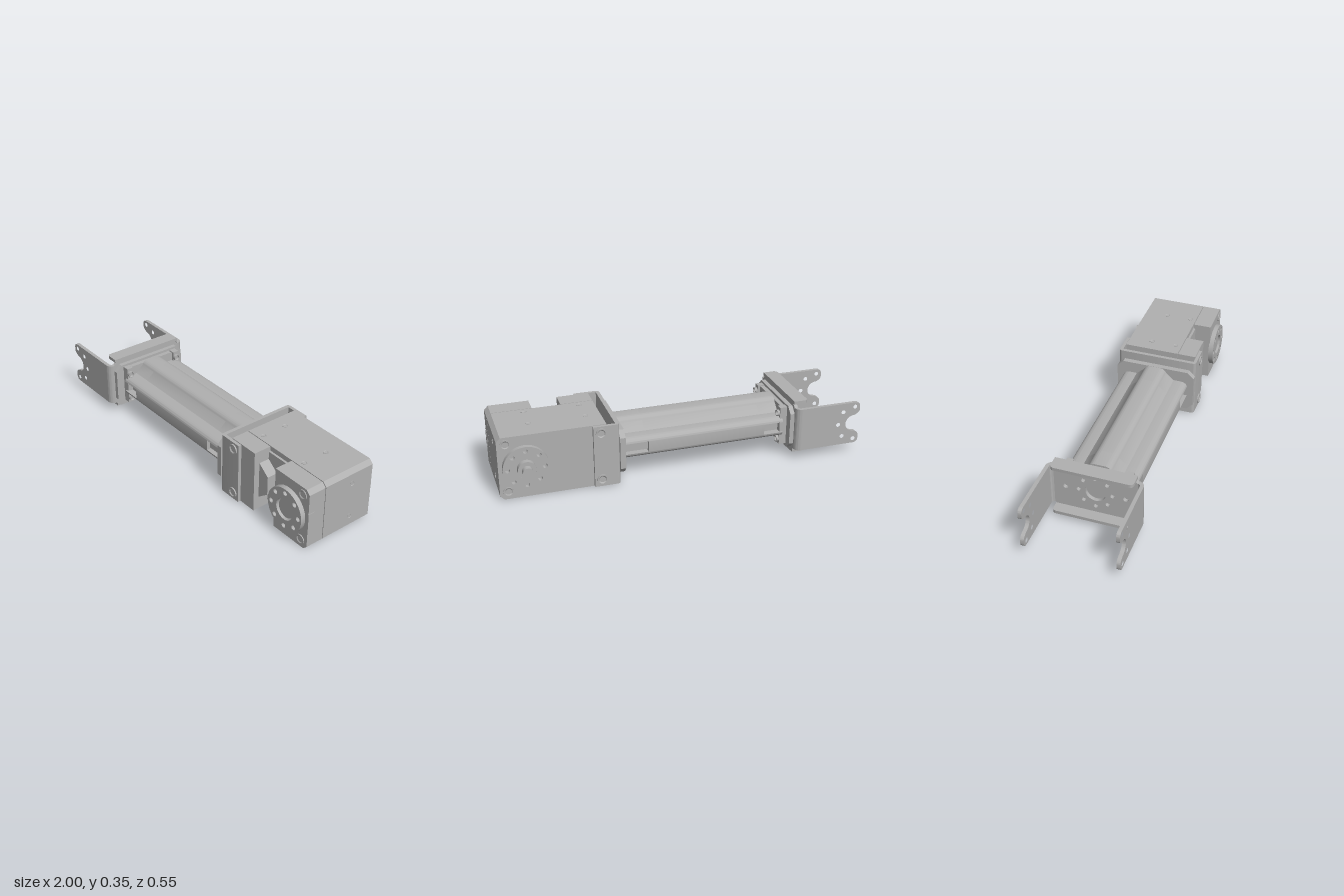
import * as THREE from 'three';
import { toCreasedNormals } from 'three/addons/utils/BufferGeometryUtils.js';

const CY = 0.177, CZ = 0.015; // centre line of the arm

export function createModel() {
  const root = new THREE.Group();
  root.name = 'armLink';
  const metal = new THREE.MeshStandardMaterial({ color: 0xb0b0b0 });
  metal.name = 'grey metal';

  const add = (name, geo, x = 0, y = 0, z = 0, parent = root) => {
    const m = new THREE.Mesh(geo, metal);
    m.name = name;
    m.position.set(x, y, z);
    parent.add(m);
    return m;
  };
  // box given by its limits
  const box = (name, x0, x1, y0, y1, z0, z1) =>
    add(name, new THREE.BoxGeometry(x1 - x0, y1 - y0, z1 - z0), (x0 + x1) / 2, (y0 + y1) / 2, (z0 + z1) / 2);
  const poly = pts => new THREE.Shape(pts.map(p => new THREE.Vector2(p[0], p[1])));
  const punch = (shape, x, y, r) => {
    shape.holes.push(new THREE.Path().absarc(x, y, r, 0, Math.PI * 2, true));
    return shape;
  };
  const extrude = (shape, depth) => toCreasedNormals(
    new THREE.ExtrudeGeometry(shape, { depth, bevelEnabled: false, curveSegments: 20 }), 0.6);
  // shape drawn across the arm, extruded along x
  const alongX = (name, shape, x0, x1) => add(name, extrude(shape, x1 - x0).rotateY(Math.PI / 2), x0, CY, CZ);
  // shape drawn in x and z, extruded up from y0 to y1
  const alongY = (name, shape, y0, y1) => add(name, extrude(shape, y1 - y0).rotateX(Math.PI / 2), 0, y1, 0);
  const alongZ = (name, shape, z0, z1) => add(name, extrude(shape, z1 - z0), 0, 0, z0);
  const chamfered = (w, h, c) => poly([[-w + c, -h], [w - c, -h], [w, -h + c], [w, h - c],
    [w - c, h], [-w + c, h], [-w, h - c], [-w, -h + c]]);

  // raised screw rim with a sunken socket, facing a given direction
  const screw = (name, r, x, y, z, dir, h = 0.005) => {
    const pts = [[r, 0], [r, h], [r * 0.78, h], [r * 0.6, h * 0.3], [0, h * 0.3]];
    const m = add(name, toCreasedNormals(
      new THREE.LatheGeometry(pts.map(p => new THREE.Vector2(p[0], p[1])), 24), 0.5), x, y, z);
    m.quaternion.setFromUnitVectors(new THREE.Vector3(0, 1, 0), new THREE.Vector3(...dir));
    return m;
  };

  // ---- Fork bracket ----
  const forkShape = () => {
    const s = new THREE.Shape();
    s.moveTo(-0.655, CY - 0.123);
    s.lineTo(-0.97, CY - 0.123);
    s.quadraticCurveTo(-1, CY - 0.123, -1, CY - 0.095);
    s.lineTo(-1, CY - 0.075);
    s.quadraticCurveTo(-0.995, CY - 0.056, -0.965, CY - 0.047);
    s.absarc(-0.965, CY, 0.047, -Math.PI / 2, Math.PI / 2, false);
    s.quadraticCurveTo(-0.995, CY + 0.056, -1, CY + 0.075);
    s.lineTo(-1, CY + 0.095);
    s.quadraticCurveTo(-1, CY + 0.123, -0.97, CY + 0.123);
    s.lineTo(-0.655, CY + 0.123);
    for (const k of [-1, 1]) {
      punch(s, -0.97, CY + k * 0.097, 0.012);
      punch(s, -0.9, CY + k * 0.073, 0.012);
    }
    return punch(s, -0.873, CY, 0.012);
  };
  for (const k of [-1, 1]) {
    const z = CZ + k * 0.248;
    alongZ('forkPlate', forkShape(), z - 0.01, z + 0.01);
    // rounded bend joining the plate to the web
    const s = new THREE.Shape();
    s.absarc(-0.655, 0, 0.035, 0, Math.PI / 2, false);
    s.absarc(-0.655, 0, 0.015, Math.PI / 2, 0, true);
    const bend = alongY('forkBend', s, CY - 0.123, CY + 0.123);
    bend.position.z = CZ + k * 0.223;
    if (k < 0) { bend.rotation.x = Math.PI; bend.position.y = CY - 0.123; }
  }
  const web = chamfered(0.223, 0.15, 0.03);
  punch(web, 0, 0, 0.055);
  for (let i = 0; i < 8; i++) {
    const a = i * Math.PI / 4;
    punch(web, Math.cos(a) * 0.09, Math.sin(a) * 0.09, 0.012);
  }
  for (const k of [-1, 1]) punch(web, k * 0.16, 0, 0.014);
  alongX('forkWeb', web, -0.64, -0.62);
  // stiffening lips above and below the web
  const lip = new THREE.Shape();
  lip.moveTo(-0.62, -0.203);
  lip.lineTo(-0.68, -0.203);
  lip.quadraticCurveTo(-0.7, -0.2, -0.7, -0.18);
  lip.lineTo(-0.7, 0.21);
  lip.quadraticCurveTo(-0.7, 0.23, -0.68, 0.233);
  lip.lineTo(-0.62, 0.233);
  alongY('upperLip', lip, 0.317, 0.335);
  alongY('lowerLip', lip, 0.03, 0.048);

  // ---- Profiled tube: four lobes, slotted on both sides near its ends ----
  const tubeProfile = slotted => {
    const s = new THREE.Shape();
    const side = k => { // k = 1 for one half, -1 for the other
      s.lineTo(k * 0.065, -k * 0.098);
      s.lineTo(k * 0.11, -k * 0.058);
      s.lineTo(k * 0.15, -k * 0.058);
      s.quadraticCurveTo(k * 0.187, -k * 0.055, k * 0.19, -k * 0.03);
      if (slotted) {
        s.lineTo(k * 0.15, -k * 0.03);
        s.lineTo(k * 0.15, k * 0.03);
      }
      s.lineTo(k * 0.19, k * 0.03);
      s.quadraticCurveTo(k * 0.187, k * 0.055, k * 0.15, k * 0.058);
      s.lineTo(k * 0.11, k * 0.058);
      s.lineTo(k * 0.065, k * 0.098);
      s.quadraticCurveTo(k * 0.055, k * 0.12, k * 0.03, k * 0.123);
      s.lineTo(-k * 0.03, k * 0.123);
      s.quadraticCurveTo(-k * 0.055, k * 0.12, -k * 0.065, k * 0.098);
    };
    s.moveTo(-0.03, -0.123);
    s.lineTo(0.03, -0.123);
    s.quadraticCurveTo(0.055, -0.12, 0.065, -0.098);
    side(1);
    side(-1);
    return s;
  };
  alongX('tubeEnd', tubeProfile(true), -0.57, -0.46);
  alongX('tube', tubeProfile(false), -0.46, 0.2);
  alongX('tubeEnd', tubeProfile(true), 0.2, 0.34);

  // ---- End plates and their fixings ----
  alongX('endPlate', chamfered(0.227, 0.124, 0.035), -0.62, -0.595);
  alongX('endPlate', chamfered(0.227, 0.124, 0.035), 0.335, 0.365);
  alongX('tubeCollar', chamfered(0.17, 0.11, 0.03), -0.595, -0.57);
  for (const k of [-1, 1]) {
    const z = CZ + k * 0.162;
    box('fixingTab', -0.595, -0.555, 0.07, 0.29, z - 0.018, z + 0.018);
    box('slotTab', 0.2, 0.335, CY - 0.022, CY + 0.022, z - 0.008, z + 0.008);
    for (const y of [0.1, 0.255]) screw('fixingScrew', 0.018, -0.555, y, z, [1, 0, 0], 0.015);
  }

  // ---- Motor cradle: a U of sheet metal ----
  const cradle = new THREE.Shape();
  cradle.moveTo(0.505, -0.212);
  cradle.lineTo(0.505, -0.194);
  cradle.lineTo(0.385, -0.194);
  cradle.lineTo(0.385, 0.224);
  cradle.lineTo(0.505, 0.224);
  cradle.lineTo(0.505, 0.242);
  cradle.lineTo(0.385, 0.242);
  cradle.quadraticCurveTo(0.365, 0.242, 0.365, 0.222);
  cradle.lineTo(0.365, -0.192);
  cradle.quadraticCurveTo(0.365, -0.212, 0.385, -0.212);
  alongY('motorCradle', cradle, 0.005, 0.35);

  // ---- Motor housing ----
  const housing = (x0, c = 0.022) => poly([[x0, 0.002], [1 - c, 0.002], [1, 0.002 + c], [1, 0.352 - c],
    [1 - c, 0.352], [x0, 0.352]]);
  alongZ('housing', housing(0.43), -0.192, 0.117);
  box('housingSeam', 0.435, 0.995, 0.03, 0.324, 0.11, 0.13);
  alongZ('frontCover', housing(0.76), 0.121, 0.222);
  box('frontCoverInner', 0.43, 0.605, 0.002, 0.352, 0.121, 0.222);
  alongZ('coverStep', poly([[0.6, 0.07], [0.67, 0.125], [0.67, 0.23], [0.6, 0.285]]), 0.115, 0.19);
  box('endLabel', 0.995, 1.002, 0.133, 0.22, 0.183, 0.223);

  // screws on every side of the housing
  for (const y of [0.045, 0.312]) {
    for (const [z, d] of [[0.222, 1], [-0.192, -1]]) {
      screw('coverScrew', 0.027, 0.955, y, z, [0, 0, d]);
      screw('cradleScrew', 0.028, 0.465, y, z + d * 0.02, [0, 0, d], 0.007);
    }
  }
  for (const y of [0.077, 0.275]) screw('endHole', 0.016, 0.998, y, -0.058, [1, 0, 0], 0.004);
  for (const x of [0.51, 0.81]) for (const z of [-0.06, 0.083]) {
    screw('topHole', 0.015, x, 0.351, z, [0, 1, 0], 0.003);
    screw('bottomHole', 0.015, x, 0.003, z, [0, -1, 0], 0.003);
  }

  // ---- Output horns on the front and back ----
  const horn = () => {
    const s = new THREE.Shape().absarc(0.86, CY, 0.12, 0, Math.PI * 2, false);
    for (let i = 0; i < 8; i++) {
      const a = i * Math.PI / 4;
      punch(s, 0.86 + Math.cos(a) * 0.096, CY + Math.sin(a) * 0.096, 0.013);
    }
    return punch(s, 0.86, CY, 0.058);
  };
  alongZ('frontHorn', horn(), 0.22, 0.248);
  alongZ('backHorn', horn(), -0.217, -0.19);
  const disc = (name, r, z0, z1) =>
    add(name, new THREE.CylinderGeometry(r, r, z1 - z0, 32).rotateX(Math.PI / 2), 0.86, CY, (z0 + z1) / 2);
  disc('frontHornCore', 0.052, 0.22, 0.236);
  disc('backHornCore', 0.06, -0.215, -0.19);
  disc('hub', 0.048, -0.243, -0.21);
  disc('shaft', 0.027, -0.273, -0.24);

  return root;
}
